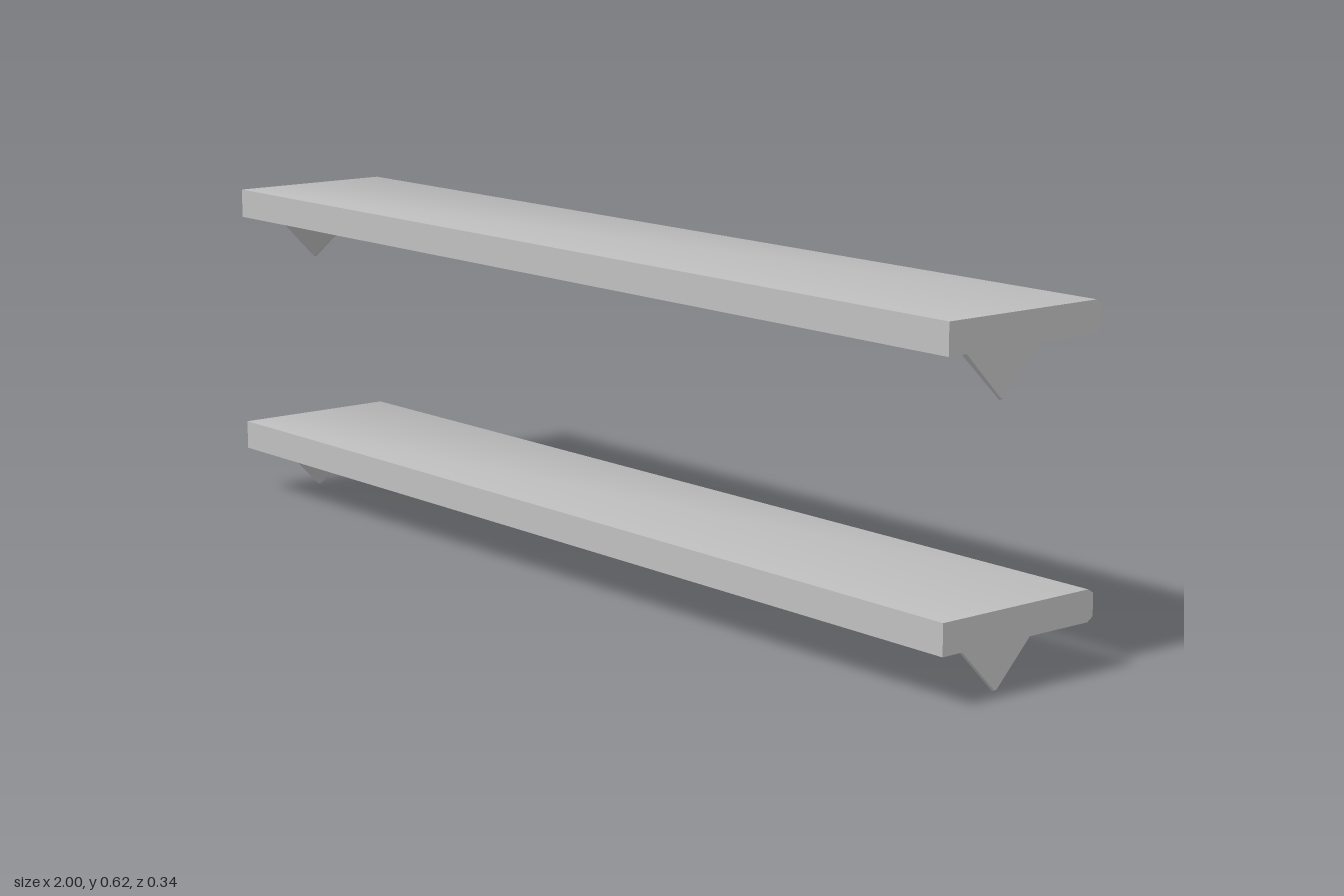
import * as THREE from 'three';
import { toCreasedNormals } from 'three/addons/utils/BufferGeometryUtils.js';

const LENGTH = 2, HALF_DEPTH = 0.17, THICK = 0.055, BRACKET_H = 0.09;

// Plank profile with eased back edges, swept along x; its underside is y = 0
function boardGeometry() {
  const d = HALF_DEPTH, cx = 0.012, cy = 0.008;
  const profile = new THREE.Shape([
    [-d, 0], [d - cx, 0], [d, cy], [d, THICK - cy], [d - cx, THICK], [-d, THICK],
  ].map(([a, b]) => new THREE.Vector2(a, b)));
  const geo = new THREE.ExtrudeGeometry(profile, { depth: LENGTH, bevelEnabled: false });
  geo.translate(0, 0, -LENGTH / 2).rotateY(Math.PI / 2);
  return toCreasedNormals(geo, 1.05);
}

// Triangular bracket: flat outer face on +x, tapering inward to a point under the board
function bracketGeometry() {
  const section = [
    [0.081, 0], [0.085, -0.006], [0.003, -BRACKET_H],
    [-0.003, -BRACKET_H], [-0.085, -0.006], [-0.081, 0],
  ];
  const stations = [[0, 0.97], [-0.004, 1], [-0.132, 0.02]]; // x offset, scale
  const n = section.length, pos = [], idx = [];
  for (const [x, s] of stations) for (const [z, y] of section) pos.push(x, y * s, z * s);
  for (let r = 0; r < stations.length - 1; r++) {
    for (let i = 0; i < n; i++) {
      const a = r * n + i, b = r * n + (i + 1) % n;
      idx.push(a, a + n, b, b, a + n, b + n);
    }
  }
  // End caps
  const last = (stations.length - 1) * n;
  for (let i = 1; i < n - 1; i++) {
    idx.push(0, i, i + 1, last, last + i + 1, last + i);
  }
  const geo = new THREE.BufferGeometry();
  geo.setAttribute('position', new THREE.Float32BufferAttribute(pos, 3));
  geo.setIndex(idx);
  const flat = geo.toNonIndexed();
  flat.computeVertexNormals();
  return flat;
}

export function createModel() {
  const model = new THREE.Group();
  model.name = 'wallShelves';
  const grey = new THREE.MeshStandardMaterial({ color: 0xc0c0c0 });
  grey.name = 'lightGrey';
  const boardGeo = boardGeometry(), bracketGeo = bracketGeometry();

  // Two identical shelves, each with a bracket near either end
  for (const [name, y] of [['lowerShelf', 0], ['upperShelf', 0.474]]) {
    const shelf = new THREE.Group();
    shelf.name = name;
    shelf.position.y = y;
    const board = new THREE.Mesh(boardGeo, grey);
    board.name = 'board';
    board.position.y = BRACKET_H;
    shelf.add(board);
    for (const side of [1, -1]) {
      const bracket = new THREE.Mesh(bracketGeo, grey);
      bracket.name = side > 0 ? 'leftBracket' : 'rightBracket';
      bracket.position.set(side * 0.97, BRACKET_H, 0.02);
      if (side < 0) bracket.rotation.y = Math.PI;
      shelf.add(bracket);
    }
    model.add(shelf);
  }
  return model;
}
